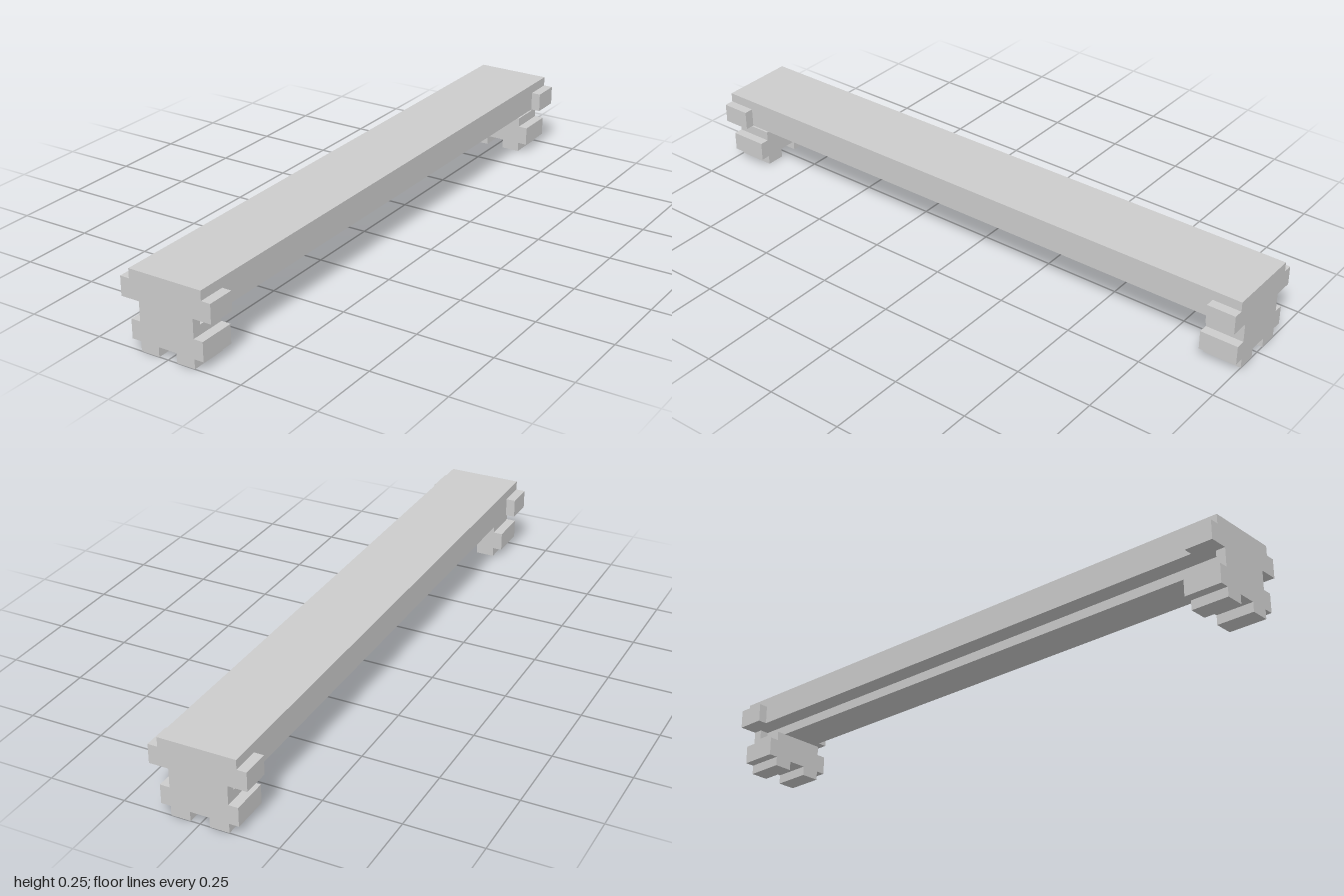
import * as THREE from 'three';

const U = 1 / 32; // modelling unit: the whole beam is 64 units long

export function createModel() {
  const model = new THREE.Group();
  model.name = 'beam';
  const material = new THREE.MeshStandardMaterial({ color: 0xcccccc, flatShading: true });

  // Box given by its minimum and maximum corners, in units
  function box(parent, name, [x0, y0, z0], [x1, y1, z1]) {
    const geometry = new THREE.BoxGeometry((x1 - x0) * U, (y1 - y0) * U, (z1 - z0) * U);
    geometry.translate((x0 + x1) * U / 2, (y0 + y1) * U / 2, (z0 + z1) * U / 2);
    const mesh = new THREE.Mesh(geometry, material);
    mesh.name = name;
    parent.add(mesh);
  }

  // Long top slab with a narrower rail beneath it
  box(model, 'slab', [-4, 5, -32], [4, 8, 32]);
  box(model, 'rail', [-2, 4, -31], [2, 5, 31]);

  // Matching supports at both ends
  for (const [name, turn] of [['frontSupport', 0], ['backSupport', Math.PI]]) {
    const support = new THREE.Group();
    support.name = name;
    box(support, 'endPlate', [-3, 4, 31], [3, 5, 32]);
    box(support, 'legBlock', [-3, 1, 28], [3, 4, 32]);

    // Side pieces, left and right
    for (const side of [-1, 1]) {
      const span = (a, b) => (side > 0 ? [a, b] : [-b, -a]);
      const pair = (part, [a, b], y0, y1, z0) => {
        const [x0, x1] = span(a, b);
        box(support, part, [x0, y0, z0], [x1, y1, 32]);
      };
      pair('foot', [1, 3], 0, 1, 28);
      pair('legLug', [3, 4], 1, 3, 28);
      pair('slabLug', [4, 5], 5, 7, 29);
    }
    support.rotation.y = turn;
    model.add(support);
  }
  return model;
}
